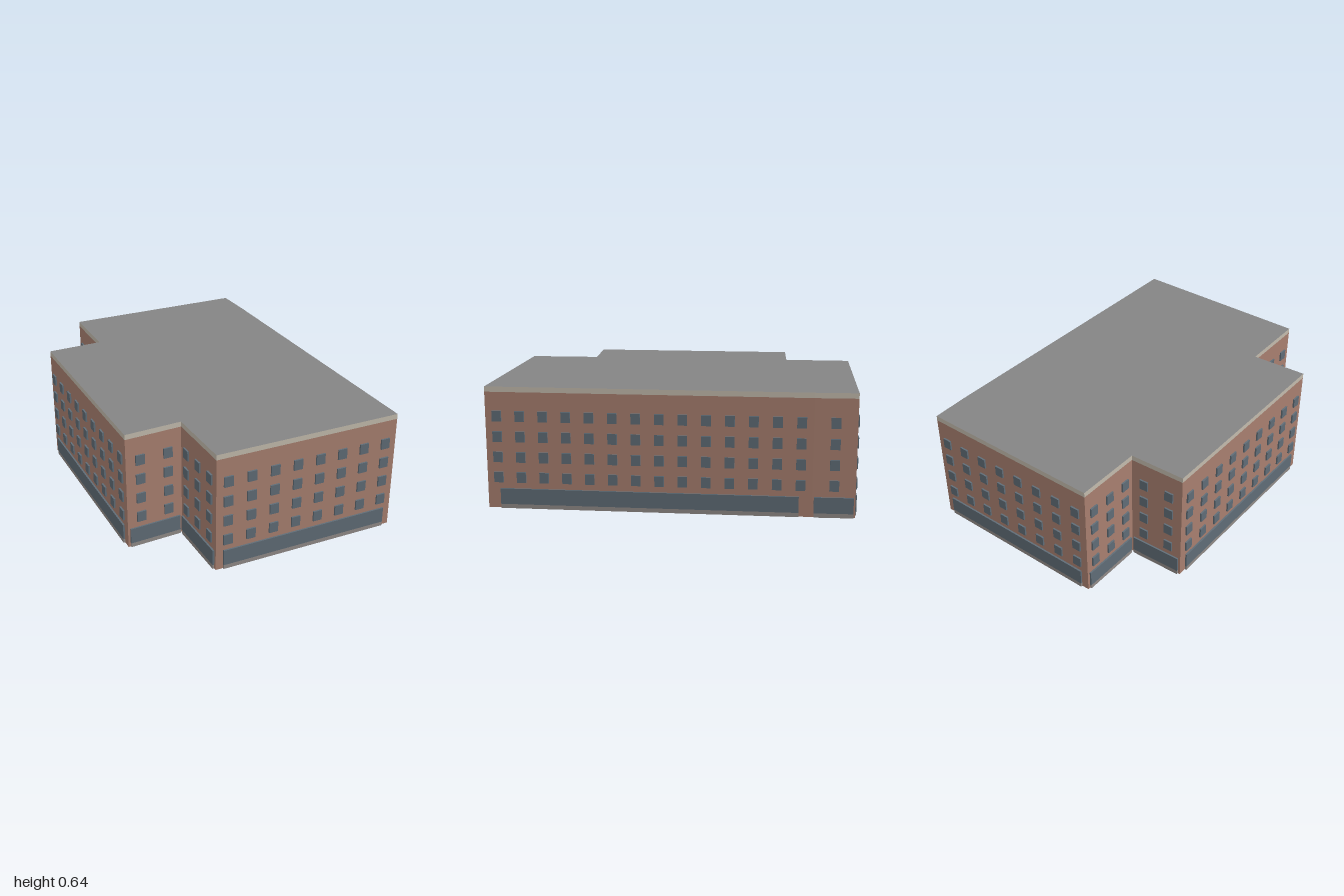
import * as THREE from 'three';

const paint = (name, color) => Object.assign(new THREE.MeshStandardMaterial({ color }), { name });

export function createModel() {
  const brick = paint('brick', 0xa98070);
  const glass = paint('glass', 0x606d77);
  const stone = paint('pale stone', 0xc4bcae);
  const roofGrey = paint('roof grey', 0x858585);
  const plinthGrey = paint('plinth grey', 0x918b88);

  const model = new THREE.Group();
  model.name = 'building';

  // Footprint corners as x, z, starting at the front
  const corners = [
    [-0.24, 0.992], [0.752, 0.862], [0.525, -0.785], [0.49, -0.998], [-0.502, -0.863],
    [-0.455, -0.507], [-0.752, -0.457], [-0.595, 0.67], [-0.297, 0.615],
  ];
  const footprint = new THREE.Shape(corners.map(([x, z]) => new THREE.Vector2(x, -z)));

  // Upright slab over the footprint
  function addSlab(name, y0, y1, materials) {
    const geometry = new THREE.ExtrudeGeometry(footprint, { depth: y1 - y0, bevelEnabled: false });
    geometry.rotateX(-Math.PI / 2);
    const slab = new THREE.Mesh(geometry, materials);
    slab.name = name;
    slab.position.y = y0;
    model.add(slab);
  }
  addSlab('brickWalls', 0, 0.61, brick);
  addSlab('roofAndParapet', 0.61, 0.637, [roofGrey, stone]);

  // Plate standing just proud of a wall, in the wall's own frame
  const proud = 0.009;
  function addPlate(wall, name, x, y, width, height, material) {
    const plate = new THREE.Mesh(new THREE.BoxGeometry(width, height, proud), material);
    plate.name = name;
    plate.position.set(x, y, proud / 2);
    wall.add(plate);
  }

  // Shopfront, plinth and four rows of windows on every wall
  corners.forEach(([x0, z0], i) => {
    const [x1, z1] = corners[(i + 1) % corners.length];
    const length = Math.hypot(x1 - x0, z1 - z0);
    const wall = new THREE.Group();
    wall.name = 'wallDetails';
    wall.position.set((x0 + x1) / 2, 0, (z0 + z1) / 2);
    wall.rotation.y = Math.atan2(z0 - z1, x1 - x0);
    model.add(wall);

    addPlate(wall, 'shopfront', 0, 0.0635, length * 0.92, 0.083, glass);
    addPlate(wall, 'plinth', 0, 0.011, length * 0.92, 0.022, plinthGrey);

    const columns = Math.floor(length / 0.1185);
    for (let c = 0; c < columns; c++) {
      const x = ((c + 0.5) / columns - 0.5) * length;
      for (let row = 0; row < 4; row++) {
        addPlate(wall, 'window', x, 0.165 + row * 0.107, 0.048, 0.055, glass);
      }
    }
  });

  return model;
}
